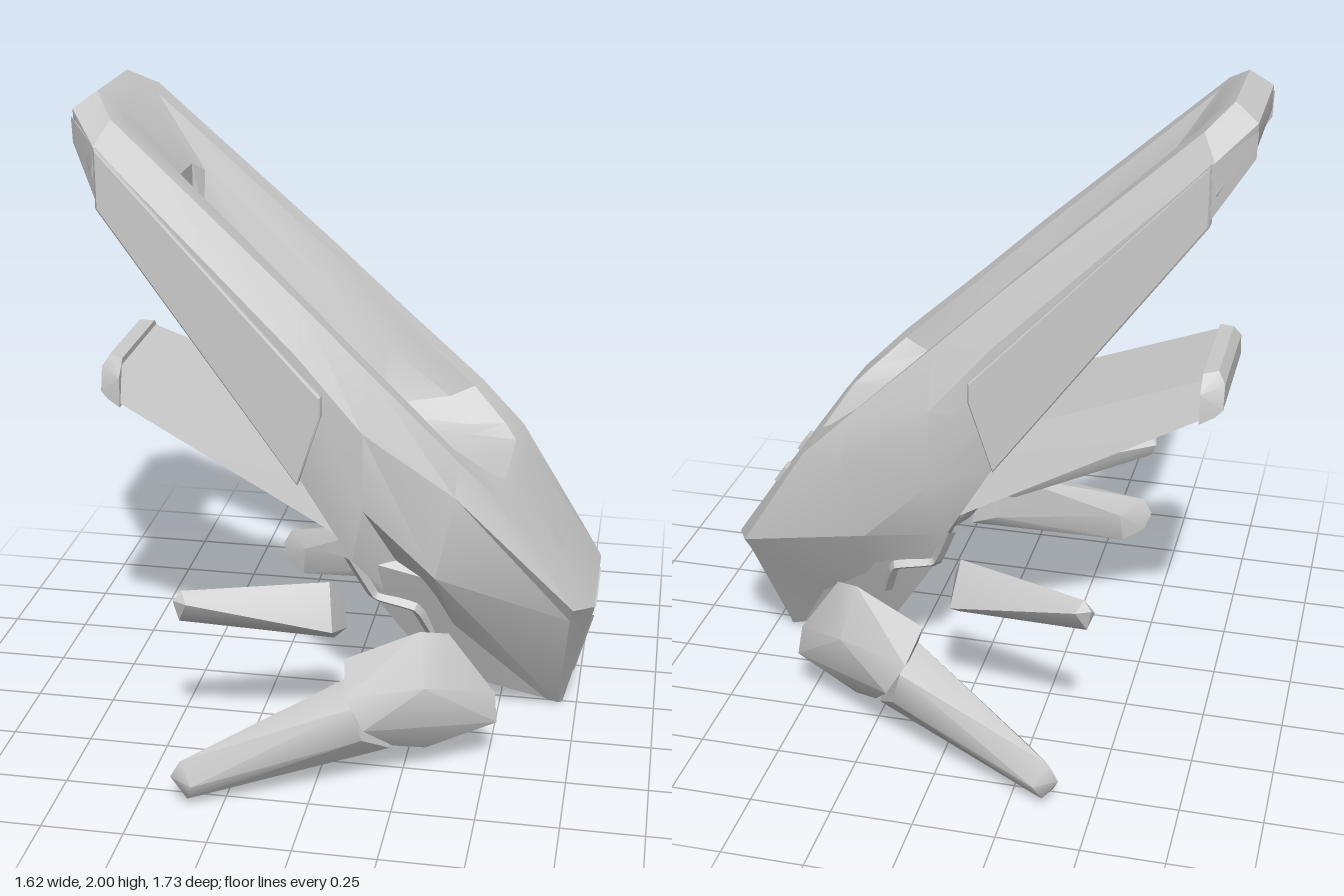
import * as THREE from 'three';
import { toCreasedNormals } from 'three/addons/utils/BufferGeometryUtils.js';
import { ConvexGeometry } from 'three/addons/geometries/ConvexGeometry.js';

const grey = new THREE.MeshStandardMaterial({ color: 0xcccccc });

function add(parent, name, geometry, crease = 0.5) {
  const mesh = new THREE.Mesh(toCreasedNormals(geometry, crease), grey);
  mesh.name = name;
  parent.add(mesh);
  return mesh;
}

const flip = ([x, y, z]) => [x, y, -z];
const hull = (points) => new ConvexGeometry(points.map((p) => new THREE.Vector3(...p)));
const symmetricHull = (points) => hull([...points, ...points.map(flip)]);

// Closed loft: each half loop runs from tail to nose and is mirrored across z
function loftRing(halfLoops) {
  const loops = halfLoops.map((h) => [...h, ...h.map(flip).reverse()]);
  const n = loops[0].length;
  const index = [];
  loops.forEach((_, i) => {
    const next = (i + 1) % loops.length;
    for (let j = 0; j < n; j++) {
      const k = (j + 1) % n;
      const a = i * n + j, b = i * n + k, c = next * n + k, d = next * n + j;
      index.push(a, d, c, a, c, b);
    }
  });
  const geo = new THREE.BufferGeometry();
  geo.setAttribute('position', new THREE.Float32BufferAttribute(loops.flat(2), 3));
  geo.setIndex(index);
  return geo;
}

function polygon(points, Type = THREE.Shape) {
  return new Type(points.map((p) => new THREE.Vector2(...p)));
}

// Raised panel, sheared so that it follows the taper of the tail arm
function sidePanel(side) {
  const depth = .05;
  const geo = new THREE.ExtrudeGeometry(
    polygon([[-.7, 1.86], [-.07, 1.2], [-.03, 1.16], [-.03, 1.1], [-.1, .88], [-.7, 1.69]]),
    { depth, bevelEnabled: true, bevelSize: .006, bevelThickness: .006, bevelSegments: 1 });
  geo.translate(0, 0, side > 0 ? 0 : -depth);
  const pos = geo.attributes.position;
  for (let i = 0; i < pos.count; i++) {
    pos.setZ(i, pos.getZ(i) + side * (.355 + .09 * pos.getX(i)));
  }
  return geo;
}

export function createModel() {
  const model = new THREE.Group();
  model.name = 'drone';
  const airframe = new THREE.Group();
  airframe.name = 'airframe';
  airframe.position.z = -.013;
  model.add(airframe);

  // Hollow body: hole bottom, hole wall, hole rim, top edge, shoulder, flank, lower edge
  add(airframe, 'body', loftRing([
    [[-.53, 1.57, .12], [-.5, 1.54, .14], [-.2, 1.22, .16], [0, 1.02, .172], [.08, .93, .178], [.11, .9, .16], [.13, .88, .13]],
    [[-.53, 1.72, .12], [-.5, 1.69, .165], [-.1, 1.29, .215], [.08, 1.11, .235], [.28, .94, .26], [.35, .87, .2], [.37, .855, .15]],
    [[-.68, 1.955, .13], [-.65, 1.925, .185], [-.1, 1.41, .24], [.1, 1.22, .255], [.36, .975, .277], [.47, .875, .215], [.51, .84, .165]],
    [[-.74, 2, .16], [-.67, 1.94, .27], [-.1, 1.42, .315], [.1, 1.23, .33], [.38, .97, .355], [.52, .83, .335], [.55, .8, .2]],
    [[-.81, 1.95, .19], [-.71, 1.87, .325], [-.1, 1.28, .385], [.1, 1.05, .395], [.38, .86, .385], [.74, .48, .31], [.8, .44, .19]],
    [[-.81, 1.88, .18], [-.72, 1.78, .32], [-.1, 1.05, .385], [.1, .8, .39], [.32, .58, .365], [.73, .43, .28], [.798, .425, .18]],
    [[-.79, 1.82, .16], [-.7, 1.69, .29], [-.1, .88, .36], [.06, .61, .345], [.42, .09, .06], [.69, .005, .035], [.705, .005, .015]],
  ]), 0.45);

  // Rear underside and keel
  add(airframe, 'chin', symmetricHull([
    [.07, .6, .31], [.12, .45, .26], [.3, .15, .14], [.42, .08, .05], [.7, 0, .025],
    [.32, .55, .32], [.7, .4, .18], [.2, .8, .15],
  ]));

  // Tail flap with a bevelled end cap
  add(airframe, 'tailFlap', symmetricHull([
    [-.7, 1.155, .2], [-.7, 1.04, .23], [.08, .86, .22], [.06, .63, .28], [.1, .82, .2],
  ]));
  add(airframe, 'tailFlapCap', symmetricHull([
    [-.69, 1.17, .19], [-.735, 1.175, .17], [-.757, 1.14, .19], [-.757, 1.065, .21],
    [-.735, 1.045, .22], [-.69, 1.025, .24], [-.69, 1.12, .235],
  ]));

  // Nose sensor set in a triangular frame
  const sensor = new THREE.Group();
  sensor.name = 'noseSensor';
  sensor.position.set(.757, .29, 0);
  sensor.rotation.z = -.217;
  airframe.add(sensor);
  const frame = polygon([[-.145, .135], [-.165, .115], [-.018, -.17], [.018, -.17], [.165, .115], [.145, .135]]);
  frame.holes.push(polygon([[-.13, .112], [.13, .112], [0, -.14]], THREE.Path));
  add(sensor, 'sensorFrame', new THREE.ExtrudeGeometry(frame, { depth: .018, bevelEnabled: false })).rotation.y = Math.PI / 2;
  const bezel = add(sensor, 'sensorBezel', new THREE.TorusGeometry(.055, .012, 6, 8));
  bezel.rotation.y = Math.PI / 2;
  bezel.scale.y = 1.45;
  bezel.position.set(.01, .03, 0);
  add(sensor, 'sensorLens', new THREE.SphereGeometry(.025, 16, 12), 1).position.set(0, .02, 0);

  for (const side of [1, -1]) {
    const label = side > 0 ? 'left' : 'right';
    const place = (points) => (side > 0 ? points : points.map(flip));
    const sided = (points) => hull(place(points));

    // Raised panel and the corner that wraps it round the tail
    add(airframe, label + 'SidePanel', sidePanel(side));
    add(airframe, label + 'TailCorner', sided([
      [-.695, 1.86, .345], [-.695, 1.69, .345], [-.7, 1.69, .27], [-.7, 1.86, .3],
      [-.813, 1.93, .2], [-.81, 1.85, .2], [-.79, 1.82, .17],
    ]));

    // Trim along the notch behind the flank
    const path = new THREE.CatmullRomCurve3(
      place([[.05, .62, .33], [.12, .46, .265], [.25, .43, .27], [.3, .3, .2]]).map((p) => new THREE.Vector3(...p)),
      false, 'catmullrom', .15);
    add(airframe, label + 'FlankTrim', new THREE.TubeGeometry(path, 24, .018, 4));

    // Small rear fin
    add(airframe, label + 'Fin', sided([
      [0, .56, .4], [.02, .42, .465], [.045, .38, .345], [.035, .47, .335], [.01, .36, .38],
      [-.42, .58, .575], [-.4, .55, .608], [-.43, .48, .577], [-.45, .53, .557], [-.445, .55, .587],
    ]));

    // Arm socket and lower arm
    add(model, label + 'ArmSocket', sided([
      [.08, .4, .57], [.3, .49, .53], [.38, .46, .47], [.52, .25, .43], [.53, .16, .45],
      [.48, .25, .4], [.38, .28, .385], [.4, .13, .425], [.32, .085, .51], [.23, .13, .59],
      [.1, .34, .7], [.16, .24, .71], [.33, .35, .62], [.11, .3, .55],
    ]), 0.6);
    add(model, label + 'Arm', sided([
      [-.37, .155, .83], [-.4, .1, .83], [-.38, .05, .8], [-.31, .02, .75], [-.33, .09, .863],
      [-.35, .03, .83], [-.3, .13, .73], [.16, .35, .6], [.1, .34, .56], [.12, .3, .69],
      [.22, .115, .58], [.15, .19, .68], [.12, .16, .56],
    ]), 0.6);

    // Square light on the hood
    const light = add(airframe, label + 'HoodLight', new THREE.BoxGeometry(.02, .062, .045));
    light.position.set(.668, .632, side * .115);
    light.rotation.z = .607;
  }
  return model;
}
